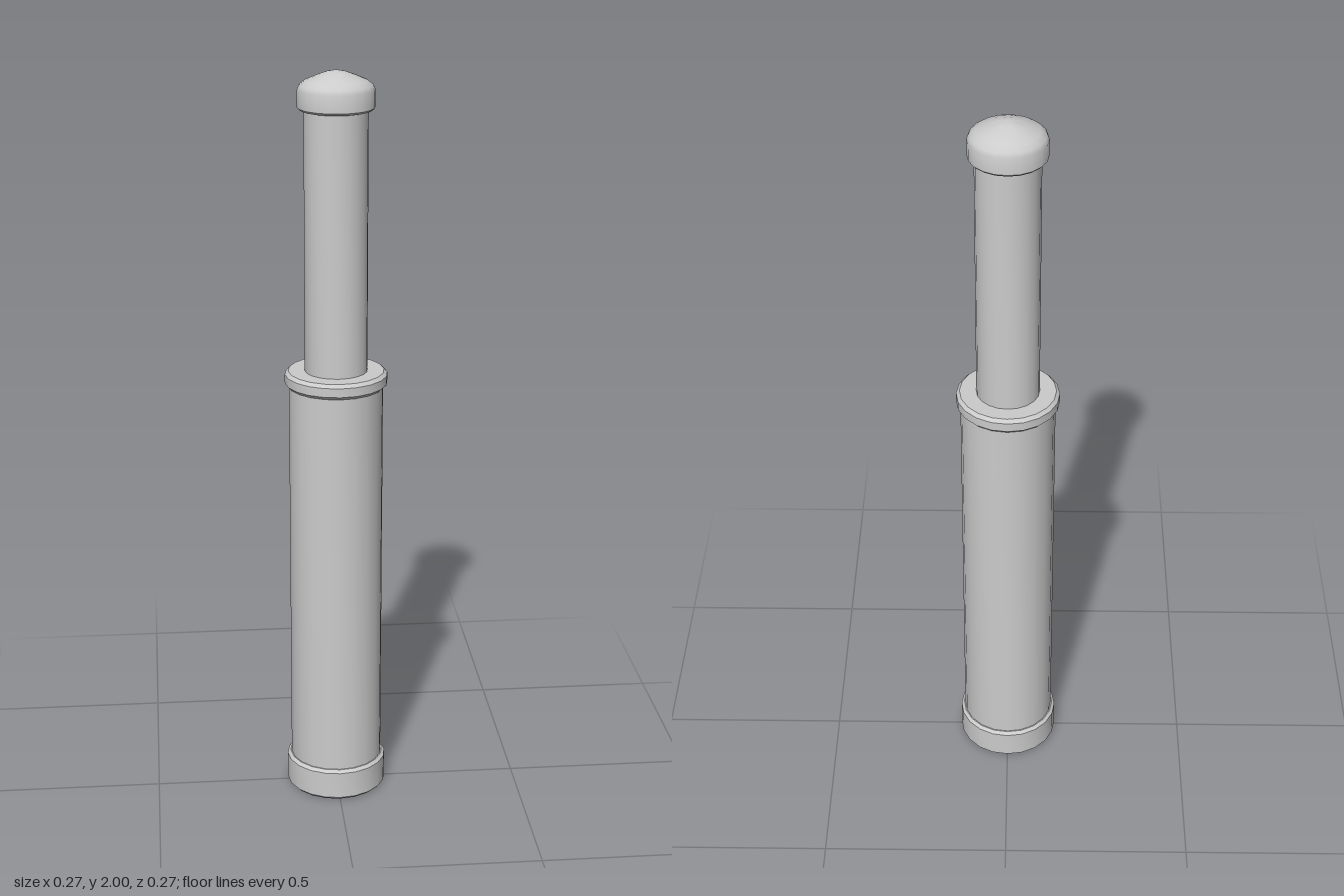
import * as THREE from 'three';
import { toCreasedNormals } from 'three/addons/utils/BufferGeometryUtils.js';

const SIDES = 20;
const material = new THREE.MeshStandardMaterial({ color: 0xcccccc });

// Turned part from [radius, height] pairs, listed bottom to top
function turned(name, profile) {
  const points = profile.map(([r, y]) => new THREE.Vector2(r, y));
  const geometry = toCreasedNormals(new THREE.LatheGeometry(points, SIDES), 0.6);
  const mesh = new THREE.Mesh(geometry, material);
  mesh.name = name;
  return mesh;
}

// Closed ring or disc with small chamfers on both rims
function band(name, radius, bottom, top, chamfer) {
  return turned(name, [
    [0, bottom], [radius - chamfer, bottom], [radius, bottom + chamfer],
    [radius, top - chamfer], [radius - chamfer, top], [0, top],
  ]);
}

export function createModel() {
  const group = new THREE.Group();
  group.name = 'telescopicPost';

  group.add(
    // Wide lower tube with its foot and collar
    band('baseRing', 0.136, 0, 0.09, 0.008),
    turned('outerTube', [[0.125, 0.05], [0.125, 1.19]]),
    band('collar', 0.136, 1.168, 1.21, 0.009),
    // Narrow upper tube
    turned('innerTube', [[0.083, 1.19], [0.083, 1.93]]),
    // Domed end cap
    turned('cap', [
      [0, 1.9], [0.094, 1.9], [0.1, 1.906], [0.1, 1.95],
      [0.095, 1.962], [0.08, 1.973], [0.05, 1.986], [0.025, 1.995], [0, 2],
    ]),
  );
  return group;
}
